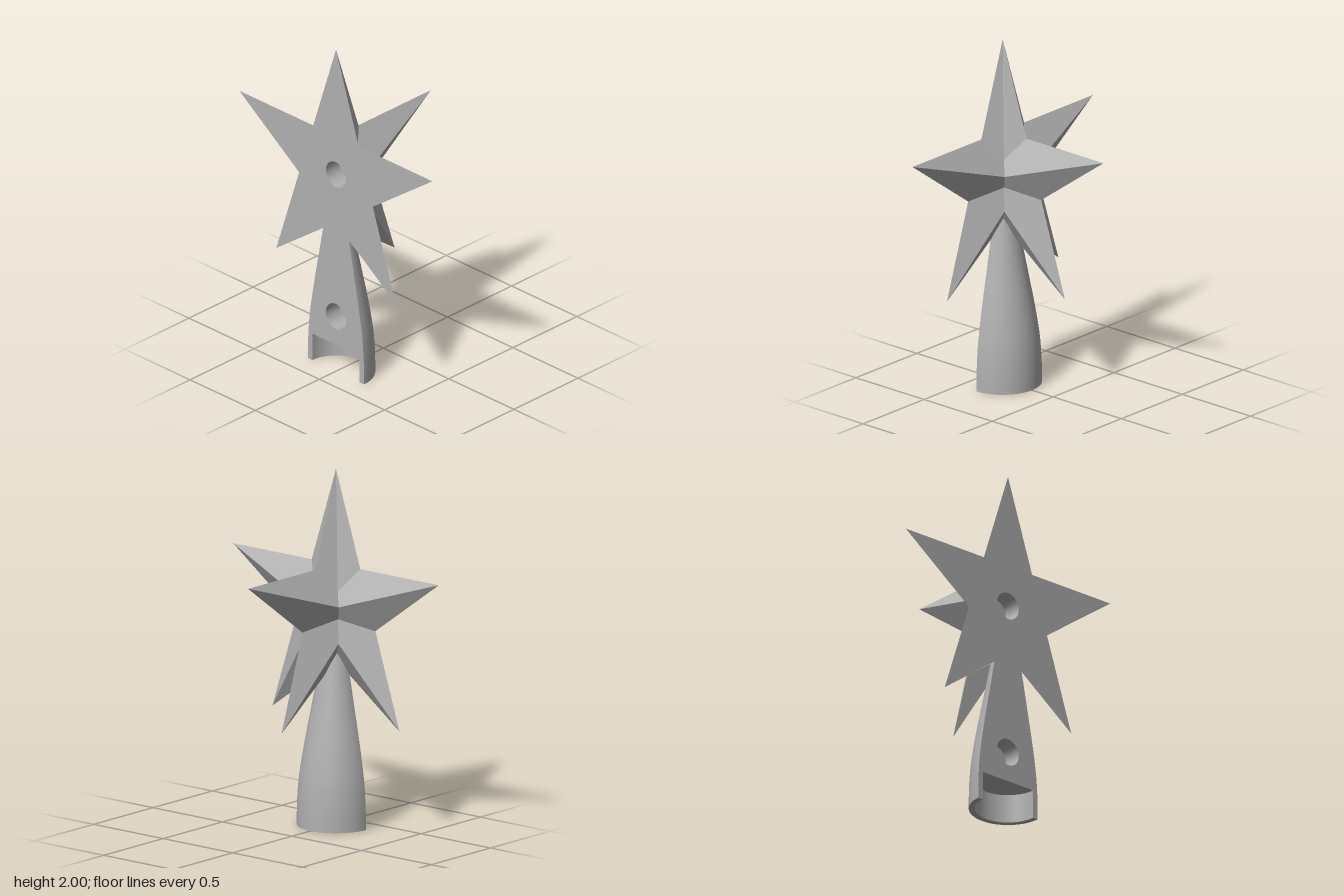
import * as THREE from 'three';

const R = 0.778, INNER = 0.382 * R, CY = 2 - R; // star radii and centre height
const T = 0.165;                                // half thickness of a star
const CUT = -0.37;                              // flat back plane
const CAVITY_R = 0.182, CAVITY_H = 0.165, HOLE_R = 0.078;

// Five-pointed outline, clockwise from the top, as [sideways, up] about the star centre
const outline = [];
for (let i = 0; i < 10; i++) {
  const a = Math.PI / 2 - i * Math.PI / 5, r = i % 2 ? INNER : R;
  outline.push([r * Math.cos(a), r * Math.sin(a)]);
}

// Fan of flat facets from an apex to consecutive rim points
function fan(apex, rim, closed, flip) {
  const pos = [];
  const n = closed ? rim.length : rim.length - 1;
  for (let i = 0; i < n; i++) {
    const a = rim[i], b = rim[(i + 1) % rim.length];
    pos.push(...apex, ...(flip ? b : a), ...(flip ? a : b));
  }
  const g = new THREE.BufferGeometry();
  g.setAttribute('position', new THREE.Float32BufferAttribute(pos, 3));
  g.computeVertexNormals();
  return g;
}

const lathe = (pts, segs, start, length) =>
  new THREE.LatheGeometry(pts.map(p => new THREE.Vector2(...p)), segs, start, length);

export function createModel() {
  const model = new THREE.Group();
  model.name = 'halfStarTopper';
  const grey = new THREE.MeshStandardMaterial({ color: 0xb0b0b0, side: THREE.DoubleSide });
  grey.name = 'grey';
  const add = (name, geometry, parent = model) => {
    const mesh = new THREE.Mesh(geometry, grey);
    mesh.name = name;
    parent.add(mesh);
    return mesh;
  };

  // Two crossing faceted stars, both cut by the back plane
  const stars = new THREE.Group();
  stars.name = 'stars';
  stars.position.set(CUT, CY, 0);
  model.add(stars);
  add('wideStar', fan([T, 0, 0], outline.map(([s, y]) => [0, y, s]), true, false), stars);
  const half = outline.slice(0, 6).map(([s, y]) => [s, y, 0]);
  add('crossStarFront', fan([0, 0, T], half, false, true), stars);
  add('crossStarBack', fan([0, 0, -T], half, false, false), stars);

  // Half-round tapering socket, hollow at the bottom
  const socket = new THREE.Group();
  socket.name = 'socket';
  socket.position.x = CUT;
  model.add(socket);
  const curve = new THREE.SplineCurve([
    [0.215, 0], [0.214, 0.1], [0.209, 0.2], [0.199, 0.3], [0.175, 0.45],
    [0.147, 0.6], [0.098, 0.857], [0.07, 1],
  ].map(p => new THREE.Vector2(...p)));
  const profile = curve.getPoints(28).map(p => [p.x, p.y]);
  const piece = (name, pts) => add(name, lathe(pts, 40, 0, Math.PI), socket);
  piece('socketOuter', profile);
  piece('socketRim', [[CAVITY_R, 0], [0.215, 0]]);
  piece('socketInner', [[CAVITY_R, CAVITY_H], [CAVITY_R, 0]]);
  piece('socketCeiling', [[0, CAVITY_H], [CAVITY_R, CAVITY_H]]);

  // Flat back: star outline joined to the socket, with the cavity cut away
  const side = profile.filter(p => p[1] < 0.86);
  const star = outline.map(([s, y]) => [s, y + CY]);
  const mirror = pts => pts.map(([s, y]) => [-s, y]).reverse();
  const rightSide = [[CAVITY_R, CAVITY_H], [CAVITY_R, 0], ...side, ...star.slice(1, 5).reverse()];
  const shape = new THREE.Shape(
    [...rightSide, star[0], ...mirror(rightSide)].map(p => new THREE.Vector2(...p)));
  const holes = [0.34, CY];
  for (const y of holes) {
    shape.holes.push(new THREE.Path().absarc(0, y, HOLE_R, 0, Math.PI * 2, true));
  }
  const back = add('flatBack', new THREE.ShapeGeometry(shape, 16).rotateY(-Math.PI / 2));
  back.position.x = CUT;

  // Blind round pin holes in the back
  for (const y of holes) {
    const hole = new THREE.Group();
    hole.name = 'pinHole';
    hole.position.set(CUT, y, 0);
    hole.rotation.z = Math.PI / 2;
    model.add(hole);
    add('pinHoleWall', lathe([[HOLE_R, 0], [HOLE_R, -0.11]], 32), hole);
    add('pinHoleFloor', lathe([[HOLE_R, -0.11], [0, -0.11]], 32), hole);
  }
  return model;
}
